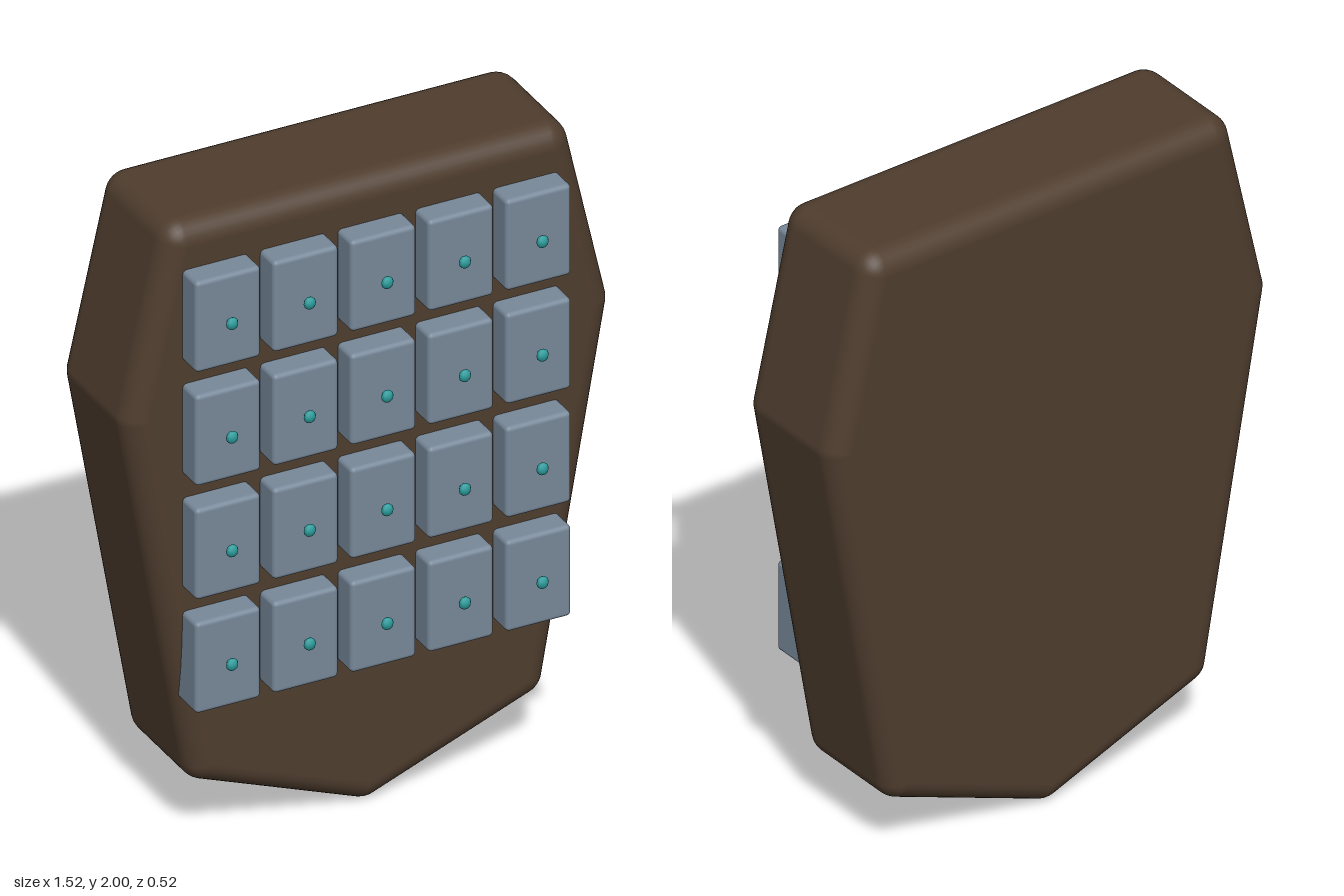
import * as THREE from 'three';
import { RoundedBoxGeometry } from 'three/addons/geometries/RoundedBoxGeometry.js';

// Convex slab with all edges rounded: corners run counter-clockwise, each grown by radius r.
function roundedSlab(corners, r, zBack, zFront) {
  const pos = [], nor = [], idx = [];
  const arcSteps = 6, bevelSteps = 8, n = corners.length;
  const edgeAngle = (a, b) => Math.atan2(-(b[0] - a[0]), b[1] - a[1]);

  // Outline samples: corner centre plus outward angle
  const outline = [];
  corners.forEach((c, i) => {
    const a0 = edgeAngle(corners[(i + n - 1) % n], c);
    let turn = edgeAngle(c, corners[(i + 1) % n]) - a0;
    while (turn < 0) turn += Math.PI * 2;
    for (let k = 0; k <= arcSteps; k++) outline.push([c, a0 + turn * k / arcSteps]);
  });

  // Rings from the back face, over the wall, to the front face
  const rings = [];
  for (let k = 0; k <= bevelSteps; k++) rings.push([-Math.PI / 2 * (1 - k / bevelSteps), zBack + r]);
  for (let k = 0; k <= bevelSteps; k++) rings.push([Math.PI / 2 * k / bevelSteps, zFront - r]);
  const m = outline.length;
  for (const [phi, z] of rings) {
    for (const [c, a] of outline) {
      const d = [Math.cos(phi) * Math.cos(a), Math.cos(phi) * Math.sin(a), Math.sin(phi)];
      pos.push(c[0] + r * d[0], c[1] + r * d[1], z + r * d[2]);
      nor.push(...d);
    }
  }
  for (let j = 0; j < rings.length - 1; j++) {
    for (let i = 0; i < m; i++) {
      const a = j * m + i, b = j * m + (i + 1) % m;
      idx.push(a, b, b + m, a, b + m, a + m);
    }
  }

  // Flat back and front caps
  const last = (rings.length - 1) * m, step = arcSteps + 1;
  for (let i = 1; i < n - 1; i++) {
    idx.push(0, (i + 1) * step, i * step);
    idx.push(last, last + i * step, last + (i + 1) * step);
  }
  const geo = new THREE.BufferGeometry();
  geo.setAttribute('position', new THREE.Float32BufferAttribute(pos, 3));
  geo.setAttribute('normal', new THREE.Float32BufferAttribute(nor, 3));
  geo.setIndex(idx);
  return geo;
}

export function createModel() {
  const model = new THREE.Group();
  const mat = (color) => new THREE.MeshStandardMaterial({ color });
  const bodyMat = mat(0x4f3d2e), plateMat = mat(0x778899), studMat = mat(0x2a9a9a);

  // Tapered seven-sided body
  const body = new THREE.Mesh(roundedSlab([
    [0, 0.07], [0.49, 0.26], [0.69, 1.4], [0.57, 1.93],
    [-0.57, 1.93], [-0.69, 1.4], [-0.49, 0.26],
  ], 0.07, -0.26, 0.15), bodyMat);
  body.name = 'body';
  model.add(body);

  // Grid of plates, each with a small stud floating in front
  const plateGeo = new RoundedBoxGeometry(0.204, 0.29, 0.12, 3, 0.014);
  const studGeo = new THREE.SphereGeometry(0.019, 8, 6).scale(1, 1, 0.68);
  for (let row = 0; row < 4; row++) {
    for (let col = 0; col < 5; col++) {
      const unit = new THREE.Group();
      unit.name = `plateUnit_${row + 1}_${col + 1}`;
      unit.position.set((col - 2) * 0.242, 1.718 - row * 0.363, 0);
      const plate = new THREE.Mesh(plateGeo, plateMat);
      plate.name = 'plate';
      plate.position.z = 0.17;
      const stud = new THREE.Mesh(studGeo, studMat);
      stud.name = 'stud';
      stud.position.z = 0.25;
      unit.add(plate, stud);
      model.add(unit);
    }
  }
  return model;
}
